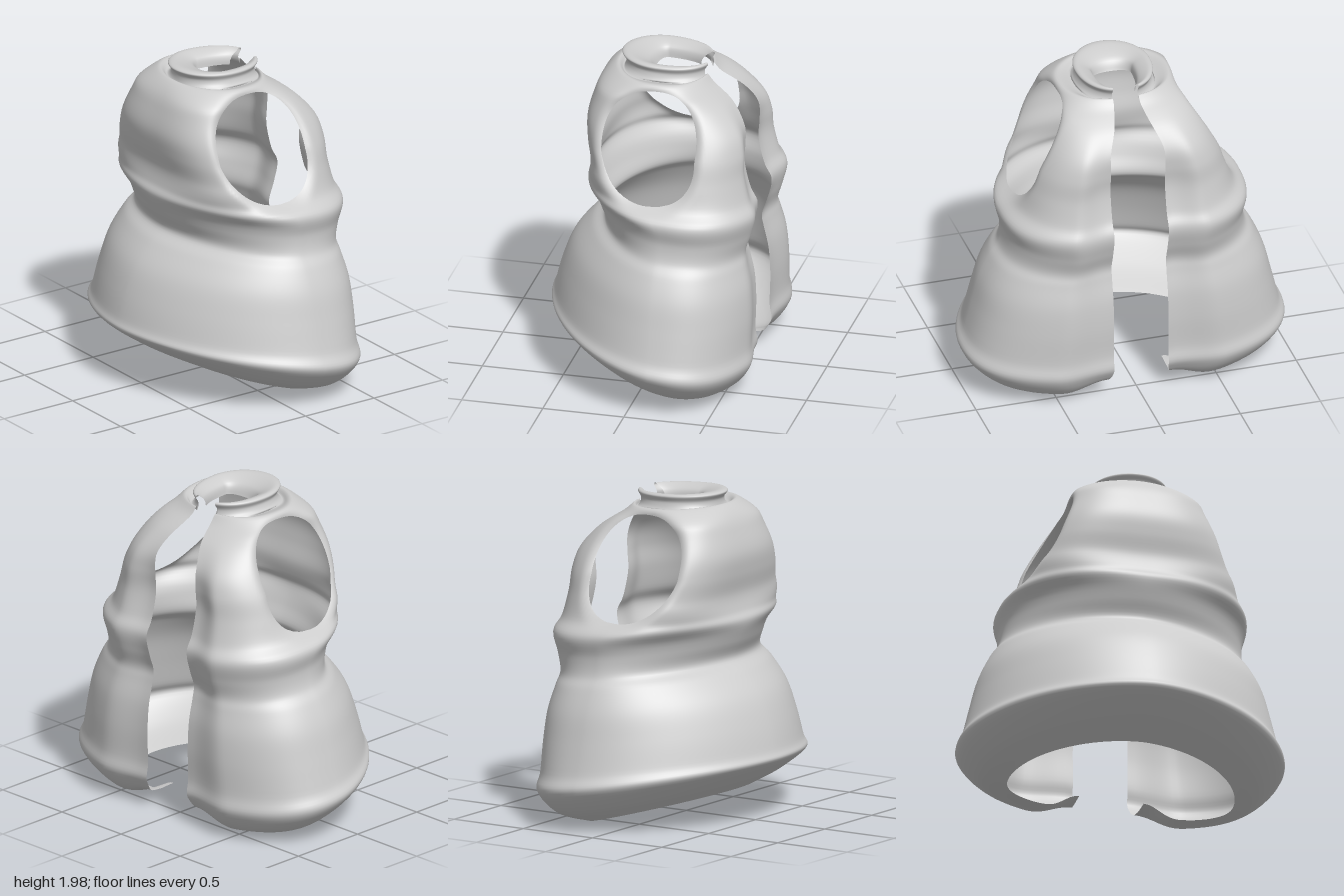
import * as THREE from 'three';

const { smoothstep } = THREE.MathUtils;

// Cross-sections from the inner hem up to the inside of the collar:
// [height, half width, front z, back z]
const ROWS = [
  // skirt
  [0.08, 0.70, 0.33, -0.36],
  [0.15, 0.87, 0.50, -0.57],
  [0.275, 1.0, 0.66, -0.69],
  [0.37, 0.965, 0.655, -0.685],
  [0.55, 0.92, 0.61, -0.69],
  [0.72, 0.875, 0.54, -0.68],
  [0.86, 0.81, 0.43, -0.65],
  // bodice
  [0.94, 0.755, 0.345, -0.64],
  [1.05, 0.74, 0.39, -0.675],
  [1.17, 0.76, 0.435, -0.70],
  [1.25, 0.685, 0.41, -0.655],
  [1.37, 0.64, 0.395, -0.62],
  [1.50, 0.595, 0.42, -0.615],
  [1.62, 0.535, 0.43, -0.58],
  [1.74, 0.47, 0.40, -0.47],
  [1.83, 0.415, 0.36, -0.34],
  [1.895, 0.345, 0.28, -0.29],
  // collar
  [1.868, 0.255, 0.24, -0.285],
  [1.915, 0.222, 0.23, -0.28],
  [1.955, 0.235, 0.255, -0.30],
  [1.965, 0.20, 0.20, -0.29],
  [1.93, 0.135, 0.09, -0.27],
  [1.87, 0.12, 0.05, -0.25],
];
const BODICE_ROW = 7, COLLAR_ROW = 17;
const STEPS = 6, COLS = 144;
const NV = (ROWS.length - 1) * STEPS;

// Smooth interpolation of the cross-section values
function section(v) {
  const k = Math.min(Math.floor(v), ROWS.length - 2), t = v - k;
  const row = (i) => ROWS[Math.max(0, Math.min(ROWS.length - 1, i))];
  const [a, b, c, d] = [row(k - 1), row(k), row(k + 1), row(k + 2)];
  return b.map((p, i) => p + 0.5 * t * (c[i] - a[i]
    + t * (2 * a[i] - 5 * p + 4 * c[i] - d[i] + t * (3 * (p - c[i]) + d[i] - a[i]))));
}

// Under 1 inside the armhole, an oval that narrows at its lower front
function armhole(p, v) {
  if (v < 9 || v > COLLAR_ROW || Math.abs(p.x) < 0.2) return 9;
  const centre = -0.025 - 0.17 * Math.max(0, 1.5 - p.y);
  return (Math.abs((p.z - centre) / 0.295) ** 2.3 + Math.abs((p.y - 1.55) / 0.31) ** 2.3) ** (1 / 2.3);
}

// Cloth surface: u from -1 to 1 runs from back edge round the front to back edge
function surface(u, v) {
  const [h, w, zf, zb] = section(v);
  const hem = 1 - smoothstep(h, 0.08, 0.3);
  const chest = smoothstep(h, 1.1, 1.35), neck = smoothstep(h, 1.8, 1.9);
  // the folds dip toward the back, most of all at the hem
  const tilt = 0.09 * (1 - smoothstep(h, 1.1, 1.45)) + 0.5 * Math.max(0, 0.4 - h) + 0.04 * neck;
  const gap = 0.17 + 0.03 * hem - 0.09 * smoothstep(h, 1.6, 1.88);
  const widest = -0.15 + 0.1 * chest + 0.05 * smoothstep(h, 1.7, 1.88);
  const frontSquareness = 1.8 + 1.2 * chest - neck;
  const backSquareness = 2.5 + 0.5 * chest - 0.8 * neck;
  const curl = 0.08 * smoothstep(h, 0.08, 0.27) * (1 - smoothstep(h, 1.4, 1.85));

  const a = Math.abs(u);
  const t = a * (Math.PI - Math.asin((gap / w) ** (backSquareness / 2)));
  const c = Math.cos(t);
  const e = 2 / (c > 0 ? frontSquareness : backSquareness);
  const x = w * Math.sin(t) ** e * Math.sign(u);
  const z = widest + ((c > 0 ? zf : zb) - widest) * Math.abs(c) ** e;
  // the hem corners beside the back opening are rounded up
  const y = Math.max(0, h + tilt * z) + 0.09 * hem * smoothstep(a, 0.86, 1) ** 2;
  const p = new THREE.Vector3(x, y, z + curl * smoothstep(a, 0.88, 1));
  // armhole edges roll slightly inward
  const f = armhole(p, v);
  if (f < 1.2) p.x -= Math.sign(x) * 0.03 * Math.min(1, (1.2 - f) / 0.2) ** 2;
  return p;
}

export function createModel() {
  const group = new THREE.Group();
  group.name = 'openBackVest';
  const cloth = new THREE.MeshStandardMaterial({ color: 0xcccccc, side: THREE.DoubleSide });
  cloth.name = 'light grey cloth';

  const grid = [];
  for (let j = 0; j <= NV; j++) for (let i = 0; i <= COLS; i++) {
    const u = (2 * i) / COLS - 1, v = j / STEPS, p = surface(u, v);
    grid.push({ u, v, p, inside: armhole(p, v) < 1 });
  }
  const at = (i, j) => grid[j * (COLS + 1) + i];

  // Slide the outermost points inside each armhole onto its edge
  const around = [[1, 0], [-1, 0], [0, 1], [0, -1], [1, 1], [-1, 1], [1, -1], [-1, -1]];
  for (let j = 1; j < NV; j++) for (let i = 1; i < COLS; i++) {
    const q = at(i, j);
    if (!q.inside) continue;
    const step = around.find(([di, dj]) => !at(i + di, j + dj).inside);
    if (!step) continue;
    const n = at(i + step[0], j + step[1]);
    const mix = (k) => [q.u + (n.u - q.u) * k, q.v + (n.v - q.v) * k];
    let lo = 0, hi = 1;
    for (let k = 0; k < 14; k++) {
      const m = (lo + hi) / 2, uv = mix(m);
      if (armhole(surface(...uv), uv[1]) < 1) lo = m; else hi = m;
    }
    q.p = surface(...mix(hi));
  }

  // Faces, sorted into the three garment parts
  const parts = { skirt: [], bodice: [], collar: [] };
  for (let j = 0; j < NV; j++) for (let i = 0; i < COLS; i++) {
    if ([at(i, j), at(i + 1, j), at(i, j + 1), at(i + 1, j + 1)].every((q) => q.inside)) continue;
    const a = j * (COLS + 1) + i, b = a + 1, d = a + COLS + 1, c = d + 1;
    const name = j < BODICE_ROW * STEPS ? 'skirt' : j < COLLAR_ROW * STEPS ? 'bodice' : 'collar';
    parts[name].push(a, b, c, a, c, d);
  }

  // Shared normals keep the joins between parts smooth
  const whole = new THREE.BufferGeometry().setFromPoints(grid.map((q) => q.p));
  whole.setIndex(Object.values(parts).flat());
  whole.computeVertexNormals();
  for (const [name, index] of Object.entries(parts)) {
    const geometry = new THREE.BufferGeometry();
    geometry.setAttribute('position', whole.attributes.position);
    geometry.setAttribute('normal', whole.attributes.normal);
    geometry.setIndex(index);
    const mesh = new THREE.Mesh(geometry, cloth);
    mesh.name = name;
    group.add(mesh);
  }
  return group;
}
